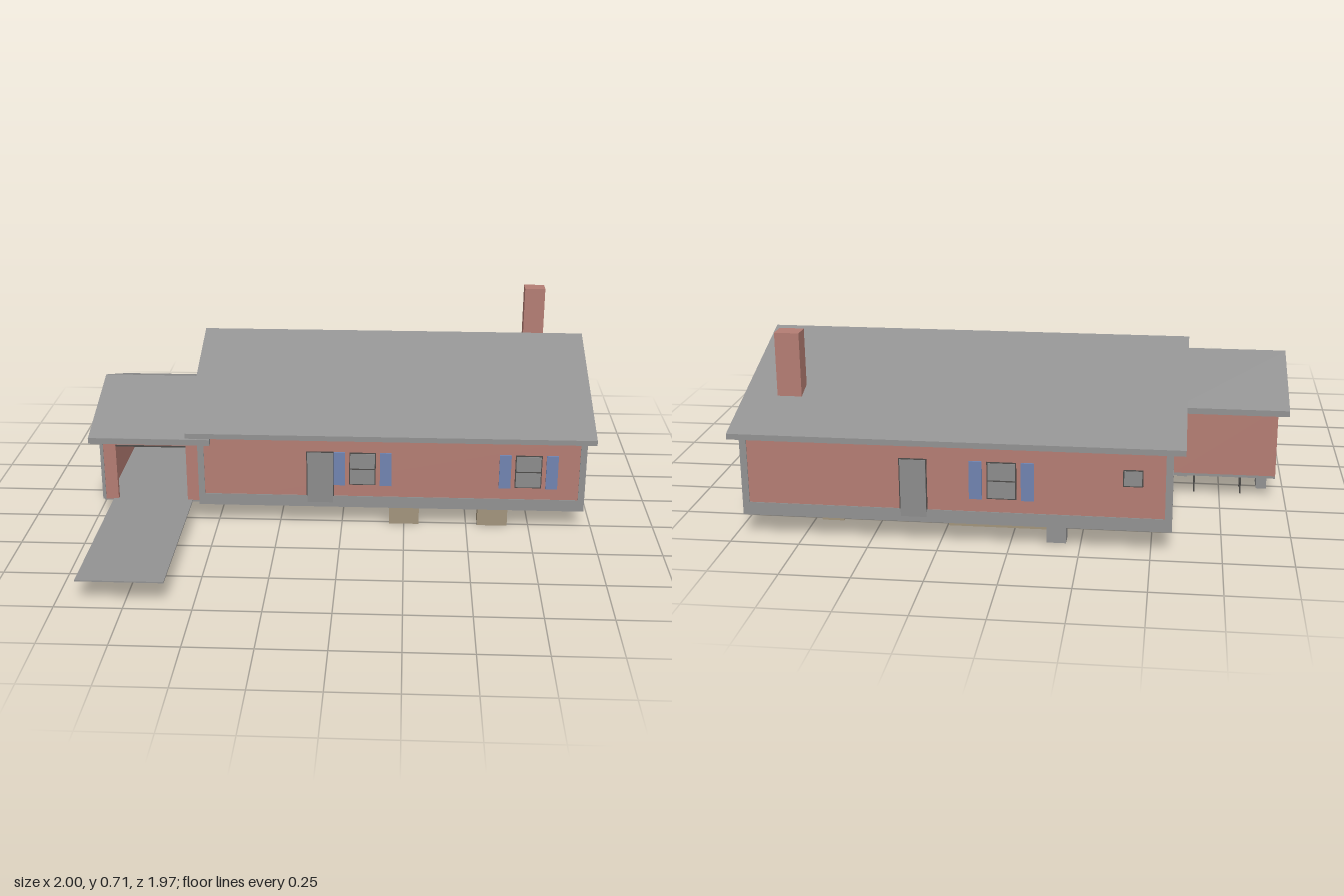
import * as THREE from 'three';

const mat = (name, color, side = THREE.FrontSide) => {
  const m = new THREE.MeshStandardMaterial({ color, side });
  m.name = name;
  return m;
};

export function createModel() {
  const brick = mat('brick', 0xb47d73);
  const grey = mat('concrete grey', 0x929292);
  const roofGrey = mat('roof grey', 0x929292);
  const glass = mat('window grey', 0x8c8c8c);
  const dark = mat('dark trim', 0x4c4a48);
  const blue = mat('shutter blue', 0x7083b0);
  const beige = mat('wood beige', 0xa2947c);
  const olive = mat('olive', 0x9c8c6c);
  const pale = mat('pale pane', 0xc8c4c0);

  const house = new THREE.Group();
  house.name = 'house';

  // box from its min and max corners
  const box = (name, m, x0, x1, y0, y1, z0, z1, parent = house) => {
    const mesh = new THREE.Mesh(new THREE.BoxGeometry(x1 - x0, y1 - y0, z1 - z0), m);
    mesh.position.set((x0 + x1) / 2, (y0 + y1) / 2, (z0 + z1) / 2);
    mesh.name = name;
    parent.add(mesh);
    return mesh;
  };

  // (z, y) outline extruded along x
  const extrudeX = (name, m, points, x0, x1) => {
    const shape = new THREE.Shape(points.map(([z, y]) => new THREE.Vector2(-z, y)));
    const g = new THREE.ExtrudeGeometry(shape, { depth: x1 - x0, bevelEnabled: false });
    g.rotateY(Math.PI / 2).translate(x0, 0, 0);
    const mesh = new THREE.Mesh(g, m);
    mesh.name = name;
    house.add(mesh);
  };

  // thin two-sided roof
  const roof = (name, x0, x1, zb, zr, zf, yr, ye, t) => extrudeX(name, roofGrey,
    [[zf, ye], [zr, yr], [zb, ye], [zb, ye - t], [zr, yr - t], [zf, ye - t]], x0, x1);

  // main block with gable ends
  extrudeX('mainWalls', brick,
    [[0.295, 0.09], [0.295, 0.395], [-0.327, 0.608], [-0.945, 0.395], [-0.945, 0.09]], -0.57, 0.96);
  box('foundation', grey, -0.573, 0.963, 0.085, 0.133, -0.948, 0.298);
  roof('mainRoof', -0.615, 0.995, -0.985, -0.327, 0.33, 0.627, 0.403, 0.018);
  box('frontFascia', roofGrey, -0.615, 0.995, 0.382, 0.403, 0.322, 0.33);
  box('backFascia', roofGrey, -0.615, 0.995, 0.382, 0.403, -0.985, -0.977);
  for (const x of [-0.573, 0.938])
    for (const z of [-0.948, 0.273])
      box('cornerTrim', grey, x, x + 0.025, 0.13, 0.39, z, z + 0.025);
  for (const x of [-0.571, 0.959])
    box('gableSeam', dark, x, x + 0.002, 0.394, 0.397, -0.94, 0.29);
  box('chimney', brick, 0.78, 0.87, 0.44, 0.715, -0.765, -0.695);

  // garage shell, open at the front
  extrudeX('garageSideWall', brick,
    [[0.295, 0.1], [0.295, 0.365], [-0.055, 0.488], [-0.4, 0.365], [-0.4, 0.1]], -0.96, -0.94);
  box('garageBackWall', brick, -0.95, -0.57, 0.1, 0.37, -0.4, -0.38);
  box('garagePillarRight', brick, -0.96, -0.9, 0.1, 0.355, 0.275, 0.295);
  box('garagePillarLeft', brick, -0.62, -0.57, 0.1, 0.355, 0.275, 0.295);
  box('garageHeader', brick, -0.96, -0.57, 0.335, 0.366, 0.275, 0.295);
  box('garageOpeningTrim', dark, -0.9, -0.62, 0.33, 0.336, 0.29, 0.298);
  box('garageCornerTrim', grey, -0.963, -0.95, 0.1, 0.36, 0.28, 0.298);
  box('garageFloor', grey, -0.96, -0.57, 0.09, 0.1, -0.4, 0.285);
  roof('garageRoof', -1, -0.57, -0.435, -0.055, 0.33, 0.506, 0.376, 0.016);
  box('garageFascia', roofGrey, -1, -0.52, 0.353, 0.377, 0.297, 0.33);
  box('garageBackFascia', roofGrey, -1, -0.572, 0.353, 0.376, -0.435, -0.428);
  box('driveway', grey, -0.92, -0.6, 0.097, 0.102, 0.285, 0.985);
  box('garageWindowFrame', dark, -0.963, -0.937, 0.19, 0.295, -0.253, -0.147);
  box('garageWindowPane', pale, -0.965, -0.935, 0.196, 0.289, -0.247, -0.153);
  box('garageChest', olive, -0.83, -0.65, 0.1, 0.22, -0.375, -0.28);

  // wall openings are built facing +z, then turned onto a wall
  const onWall = (name, side, along, y) => {
    const g = new THREE.Group();
    g.name = name;
    if (side === 'front') g.position.set(along, y, 0.295);
    if (side === 'back') { g.position.set(along, y, -0.945); g.rotation.y = Math.PI; }
    if (side === 'left') { g.position.set(0.96, y, along); g.rotation.y = Math.PI / 2; }
    house.add(g);
    return g;
  };
  const pane = (g, w, h) => {
    box('frame', dark, -w / 2, w / 2, -h / 2, h / 2, 0, 0.003, g);
    box('pane', glass, -w / 2 + 0.004, w / 2 - 0.004, -h / 2 + 0.004, h / 2 - 0.004, 0, 0.005, g);
  };
  const shutteredWindow = (side, along) => {
    const g = onWall('shutteredWindow', side, along, 0.252);
    pane(g, 0.105, 0.138);
    box('sashBar', dark, -0.05, 0.05, -0.002, 0.002, 0, 0.007, g);
    for (const s of [-1, 1])
      box('shutter', blue, s * 0.092 - 0.023, s * 0.092 + 0.023, -0.07, 0.07, 0, 0.008, g);
  };
  shutteredWindow('front', 0.083);
  shutteredWindow('front', 0.738);
  shutteredWindow('back', 0.025);
  for (const z of [0.118, -0.442, -0.768]) shutteredWindow('left', z);
  pane(onWall('smallWindow', 'left', -0.163, 0.28), 0.066, 0.062);
  pane(onWall('smallWindow', 'back', -0.435, 0.28), 0.07, 0.062);
  pane(onWall('frontDoor', 'front', -0.085, 0.212), 0.11, 0.222);
  pane(onWall('backDoor', 'back', 0.34, 0.212), 0.1, 0.222);

  // furniture bases and supports reaching below the floor
  const bases = [
    [beige, 0.545, 0.665, 0, -0.39, -0.3], [beige, 0.545, 0.665, 0, -0.68, -0.61],
    [beige, 0.545, 0.665, 0, 0.2, 0.265], [beige, 0.19, 0.31, 0, 0.2, 0.265],
    [beige, 0.6, 0.68, 0.065, -0.92, -0.86], [beige, -0.13, 0.22, 0.06, -0.91, -0.85],
    [grey, -0.2, -0.13, 0.01, -0.91, -0.85], [grey, -0.55, -0.43, 0.005, -0.4, -0.33],
    [grey, -0.625, -0.585, 0.005, -0.19, -0.07], [grey, -0.935, -0.895, 0.005, -0.29, -0.21],
    [beige, 0.85, 0.92, 0.075, -0.22, -0.12], [beige, -0.57, -0.48, 0.075, -0.04, 0.04],
    [beige, 0.86, 0.93, 0.075, 0, 0.03], [beige, 0.86, 0.93, 0.075, -0.63, -0.58],
    [blue, -0.38, -0.3, 0.079, -0.2, -0.12],
  ];
  for (const [m, x0, x1, y, z0, z1] of bases) box('furnitureBase', m, x0, x1, y, 0.098, z0, z1);

  // thin legs of table and chairs
  for (const x of [-0.11, -0.06, 0, 0.05, 0.1])
    for (const z of [-0.6, -0.54, -0.48])
      box('tableLeg', olive, x - 0.004, x + 0.004, 0.04, 0.09, z - 0.004, z + 0.004);
  for (const x of [-0.83, -0.652])
    for (const z of [-0.36, -0.29])
      box('chestLeg', dark, x - 0.003, x + 0.003, 0.01, 0.1, z - 0.003, z + 0.003);
  for (const [x, z] of [[-0.36, -0.05], [-0.3, -0.02], [-0.22, -0.1]])
    box('chairLeg', dark, x - 0.003, x + 0.003, 0.05, 0.09, z - 0.003, z + 0.003);

  return house;
}
